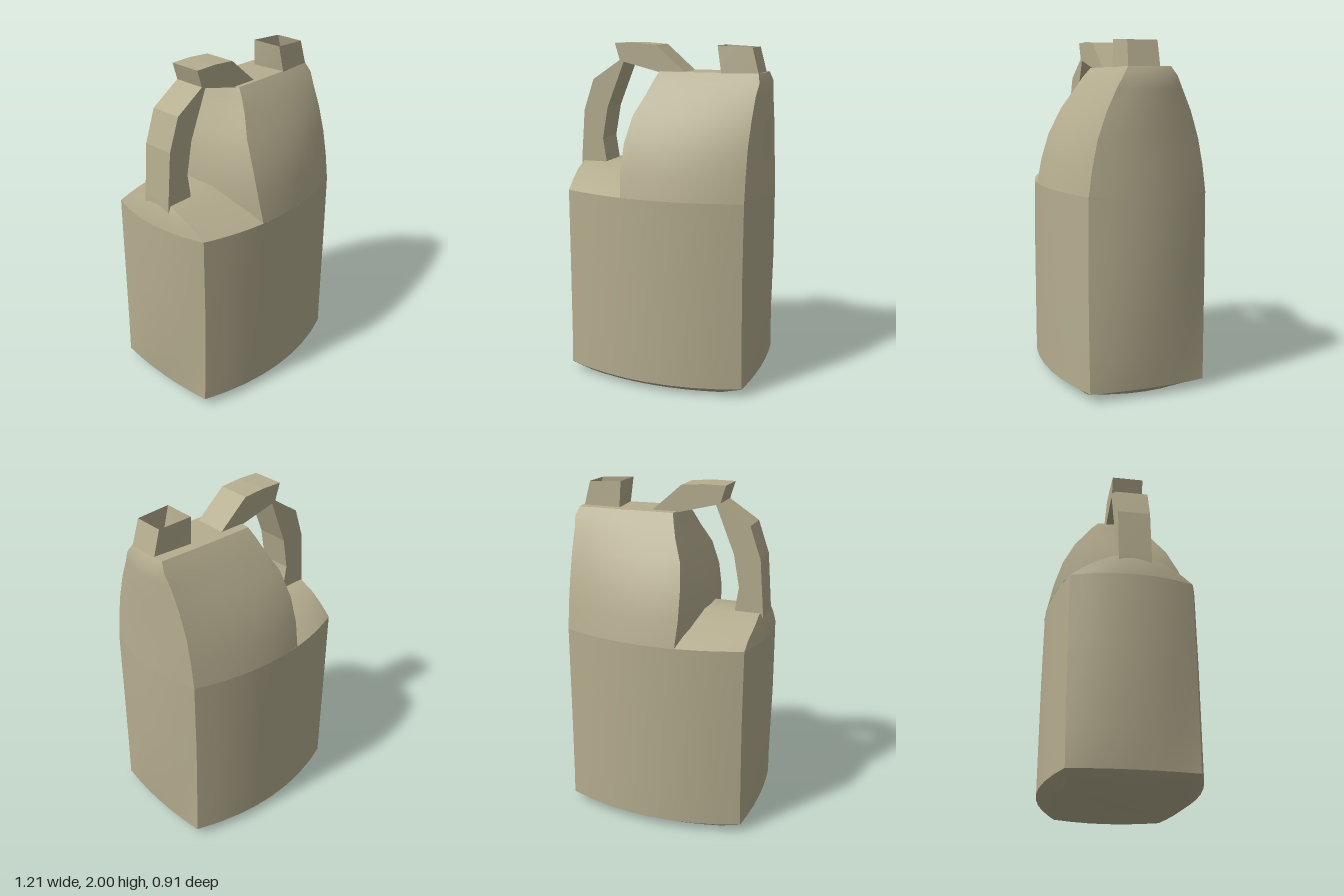
import * as THREE from 'three';
import { toCreasedNormals } from 'three/addons/utils/BufferGeometryUtils.js';

// Skin a stack of rings (each counter-clockwise from above) and optionally cap the ends
function loft(rings, capBottom, capTop, crease = 0.65) {
  const n = rings[0].length;
  const pos = rings.flat(2);
  const index = [];
  for (let r = 0; r < rings.length - 1; r++) {
    for (let i = 0; i < n; i++) {
      const j = (i + 1) % n, a = r * n, b = a + n;
      index.push(a + i, a + j, b + j, a + i, b + j, b + i);
    }
  }
  const cap = (ring, base, up) => {
    const c = [0, 1, 2].map(k => ring.reduce((s, p) => s + p[k], 0) / n);
    const ci = pos.length / 3;
    pos.push(...c);
    for (let i = 0; i < n; i++) {
      const j = (i + 1) % n;
      if (up) index.push(ci, base + i, base + j);
      else index.push(ci, base + j, base + i);
    }
  };
  if (capBottom) cap(rings[0], 0, false);
  if (capTop) cap(rings[rings.length - 1], (rings.length - 1) * n, true);
  const g = new THREE.BufferGeometry();
  g.setAttribute('position', new THREE.Float32BufferAttribute(pos, 3));
  g.setIndex(index);
  return toCreasedNormals(g, crease);
}

// Bowed rectangle: corners at xl and xr, depth d at the middle, corner depth d * k,
// ends bulging outwards by bl and br
function outline([y, xl, xr, d, k, bl, br]) {
  const pts = [], N = 8, M = 6;
  const depth = x => d * (k + (1 - k) * (1 - (x / 0.55) ** 2));
  for (let i = 0; i < N; i++) {
    const x = xl + (xr - xl) * i / N;
    pts.push([x, y, depth(x)]);
  }
  for (let i = 0; i < M; i++) {
    const t = 1 - 2 * i / M;
    pts.push([xr + br * (1 - t * t), y, t * depth(xr)]);
  }
  for (let i = 0; i < N; i++) {
    const x = xr + (xl - xr) * i / N;
    pts.push([x, y, -depth(x)]);
  }
  for (let i = 0; i < M; i++) {
    const t = -1 + 2 * i / M;
    pts.push([xl - bl * (1 - t * t), y, t * depth(xl)]);
  }
  return pts;
}

export function createModel() {
  const group = new THREE.Group();
  const plastic = new THREE.MeshStandardMaterial({ color: 0xb5ad8f, side: THREE.DoubleSide });
  plastic.name = 'beige plastic';
  const add = (name, geometry) => {
    const m = new THREE.Mesh(geometry, plastic);
    m.name = name;
    group.add(m);
  };

  // Lower tank with a bevelled foot
  add('lowerBody', loft([
    [0, -0.42, 0.42, 0.38, 0.74, 0.08, 0.08],
    [0.05, -0.545, 0.55, 0.455, 0.76, 0.025, 0.025],
    [0.25, -0.54, 0.545, 0.455, 0.76, 0.05, 0.045],
    [0.7, -0.535, 0.54, 0.455, 0.76, 0.07, 0.065],
    [1.15, -0.535, 0.54, 0.45, 0.76, 0.065, 0.06],
  ].map(outline), true, false));

  // Tall side of the tank, narrowing to a ridge
  add('upperBody', loft([
    [1.15, -0.16, 0.54, 0.45, 0.76, 0.07, 0.06],
    [1.3, -0.17, 0.54, 0.418, 0.77, 0.06, 0.055],
    [1.45, -0.165, 0.54, 0.37, 0.79, 0.04, 0.05],
    [1.6, -0.14, 0.545, 0.295, 0.83, 0.02, 0.045],
    [1.72, -0.085, 0.55, 0.22, 0.87, 0.01, 0.035],
    [1.79, -0.06, 0.56, 0.175, 0.9, 0.01, 0.02],
    [1.84, -0.04, 0.545, 0.135, 0.92, 0.01, 0.01],
  ].map(outline), false, true));

  // Low shoulder below the grip
  add('shoulder', loft([
    [1.15, -0.535, -0.1, 0.45, 0.76, 0.065, 0],
    [1.2, -0.54, -0.1, 0.36, 0.78, 0.05, 0],
    [1.25, -0.55, -0.1, 0.23, 0.85, 0.025, 0],
    [1.29, -0.55, -0.1, 0.11, 0.95, 0.01, 0],
  ].map(outline), false, true));

  // Grip: a curved pillar and a bridge to the ridge
  const grip = new THREE.Shape([
    [-0.57, 1.2], [-0.565, 1.3], [-0.54, 1.6], [-0.475, 1.785], [-0.3, 1.9],
    [-0.33, 1.998], [-0.2, 2], [-0.07, 1.99], [0.11, 1.835], [0.06, 1.78], [-0.05, 1.835],
    [-0.275, 1.89], [-0.385, 1.62], [-0.42, 1.43], [-0.4, 1.3], [-0.4, 1.2],
  ].map(p => new THREE.Vector2(...p)));
  const gripGeometry = new THREE.ExtrudeGeometry(grip, { depth: 0.19, bevelEnabled: false });
  gripGeometry.translate(0, 0, -0.08);
  add('handle', gripGeometry);

  // Open square spout
  add('spout', loft([
    [[0.335, 1.82, 0.135], [0.55, 1.82, 0.125], [0.55, 1.82, -0.06], [0.315, 1.82, -0.075]],
    [[0.305, 1.99, 0.12], [0.505, 1.98, 0.115], [0.505, 1.98, -0.06], [0.305, 1.99, -0.07]],
  ], false, false));

  return group;
}
